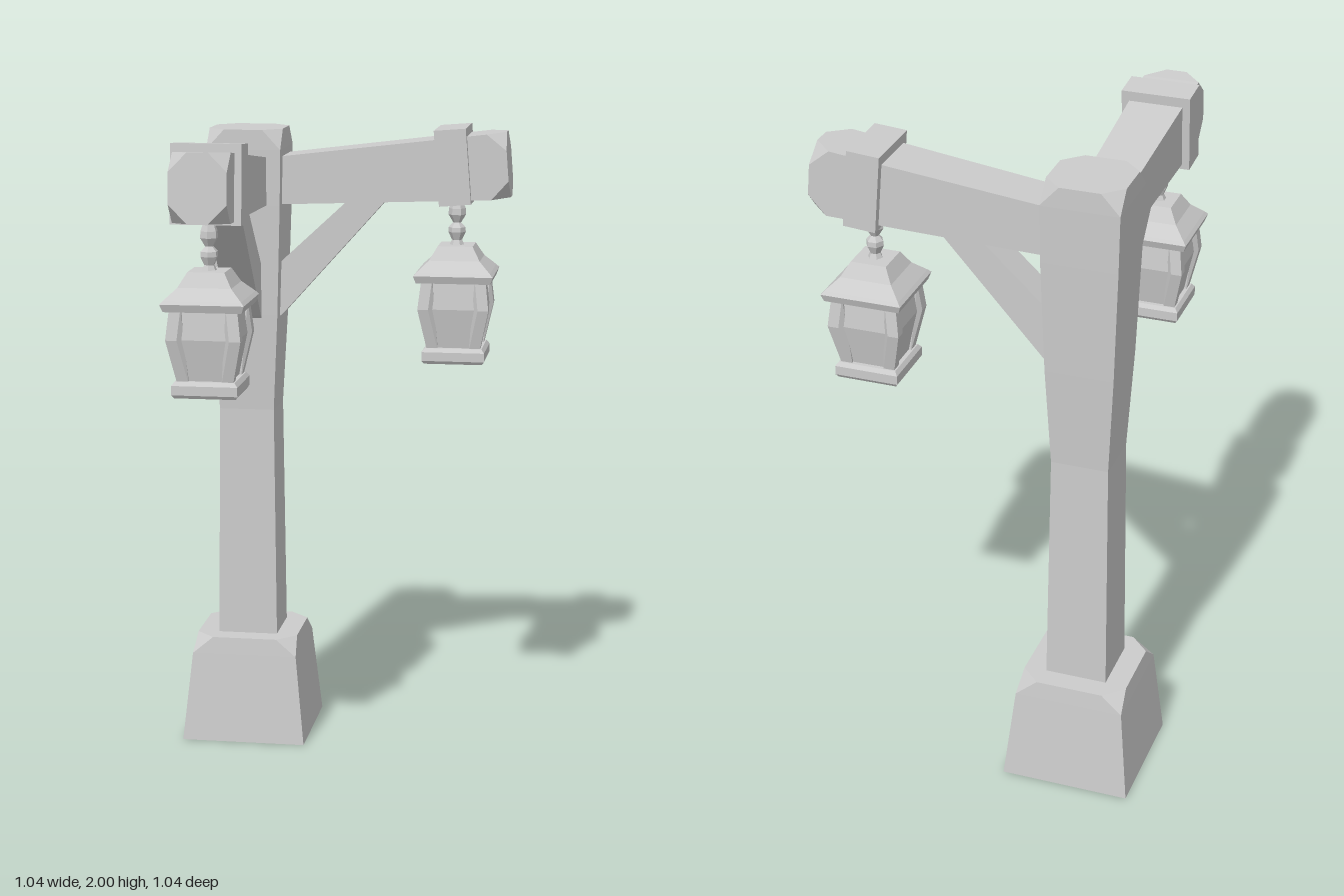
import * as THREE from 'three';
import { ConvexGeometry } from 'three/addons/geometries/ConvexGeometry.js';

const material = new THREE.MeshStandardMaterial({ color: 0xcccccc, flatShading: true });
const V = (x, y, z) => new THREE.Vector3(x, y, z);

function add(parent, name, geometry) {
  const mesh = new THREE.Mesh(geometry, material);
  mesh.name = name;
  parent.add(mesh);
  return mesh;
}

// Corners of a rectangle at height y; a cut turns it into an octagon
function ring(y, a, b = a, cut = 0) {
  const points = [];
  for (const sx of [-1, 1]) for (const sz of [-1, 1]) {
    if (cut) points.push(V(sx * (a - cut), y, sz * b), V(sx * a, y, sz * (b - cut)));
    else points.push(V(sx * a, y, sz * b));
  }
  return points;
}

// Closed stack of regular rings from [half width, y] pairs, bottom to top
function stack(profile, sides = 4) {
  const k = 1 / Math.cos(Math.PI / sides);
  const points = profile.map(([r, y]) => new THREE.Vector2(r * k, y));
  points.unshift(new THREE.Vector2(0, profile[0][1]));
  points.push(new THREE.Vector2(0, profile[profile.length - 1][1]));
  return new THREE.LatheGeometry(points, sides, Math.PI / sides);
}

function createLantern() {
  const lantern = new THREE.Group();
  lantern.name = 'lantern';
  // Faceted hanging links
  add(lantern, 'chain', stack([
    [0.024, 1.615], [0.014, 1.64], [0.024, 1.665], [0.023, 1.68], [0.011, 1.695],
    [0.024, 1.72], [0.023, 1.74], [0.012, 1.775],
  ], 6));
  add(lantern, 'lanternRoof', stack([
    [0.117, 1.515], [0.125, 1.538], [0.116, 1.548], [0.08, 1.582], [0.055, 1.625],
  ]));
  add(lantern, 'lanternGlass', stack([[0.074, 1.29], [0.1, 1.43], [0.089, 1.525]]));
  add(lantern, 'lanternBase', stack([
    [0.092, 1.255], [0.099, 1.265], [0.099, 1.293], [0.09, 1.305],
  ]));
  // Bowed bars on the four corners
  const barSections = [[0.083, 1.295], [0.112, 1.43], [0.101, 1.525]];
  for (const sx of [-1, 1]) for (const sz of [-1, 1]) {
    const points = [];
    for (const [h, y] of barSections)
      for (const i of [h, h - 0.034]) for (const j of [h, h - 0.034]) points.push(V(sx * i, y, sz * j));
    add(lantern, 'lanternCornerBar', new ConvexGeometry(points));
  }
  return lantern;
}

// Arm reaching along +x from the post axis
function createArm(name) {
  const arm = new THREE.Group();
  arm.name = name;

  // Tilted beam, widening to a chamfered end
  const beamGroup = new THREE.Group();
  beamGroup.name = 'tiltedBeam';
  beamGroup.position.set(0.658, 1.869, 0);
  beamGroup.rotation.z = 0.079;
  const beam = new ConvexGeometry([
    ...ring(-0.63, 0.072, 0.071),
    ...ring(0.112, 0.102, 0.086),
    ...ring(0.17, 0.102, 0.086, 0.055),
  ]);
  beam.rotateZ(-Math.PI / 2);
  add(beamGroup, 'beam', beam);
  add(beamGroup, 'collar', new THREE.BoxGeometry(0.1, 0.236, 0.212)).position.y = 0.008;
  arm.add(beamGroup);

  // Diagonal brace between post and beam
  const outline = new THREE.Shape([[0.08, 1.37], [0.115, 1.4], [0.46, 1.785], [0.345, 1.785], [0.08, 1.54]]
    .map(([x, y]) => new THREE.Vector2(x, y)));
  const brace = new THREE.ExtrudeGeometry(outline, { depth: 0.106, bevelEnabled: false });
  brace.translate(0, 0, -0.053);
  add(arm, 'brace', brace);

  const lantern = createLantern();
  lantern.position.x = 0.664;
  arm.add(lantern);
  return arm;
}

export function createModel() {
  const model = new THREE.Group();
  model.name = 'lampPost';
  const body = new THREE.Group();
  body.name = 'postAndArms';
  body.position.set(-0.318, 0, -0.318);
  model.add(body);

  // Footing with chamfered upper corners
  add(body, 'footing', new ConvexGeometry([
    ...ring(0, 0.2), ...ring(0.288, 0.17), ...ring(0.343, 0.164, 0.164, 0.06),
  ]));

  // Square post, waisted below the arms, with a chamfered head
  add(body, 'post', stack([[0.096, 0.33], [0.088, 1.09], [0.104, 1.4], [0.115, 1.75]]));
  add(body, 'postHead', new ConvexGeometry([
    ...ring(1.75, 0.115), ...ring(1.925, 0.118), ...ring(1.987, 0.117, 0.117, 0.056),
  ]));

  // Two matching arms at a right angle
  body.add(createArm('leftArm'));
  const front = createArm('frontArm');
  front.rotation.y = -Math.PI / 2;
  body.add(front);
  return model;
}
